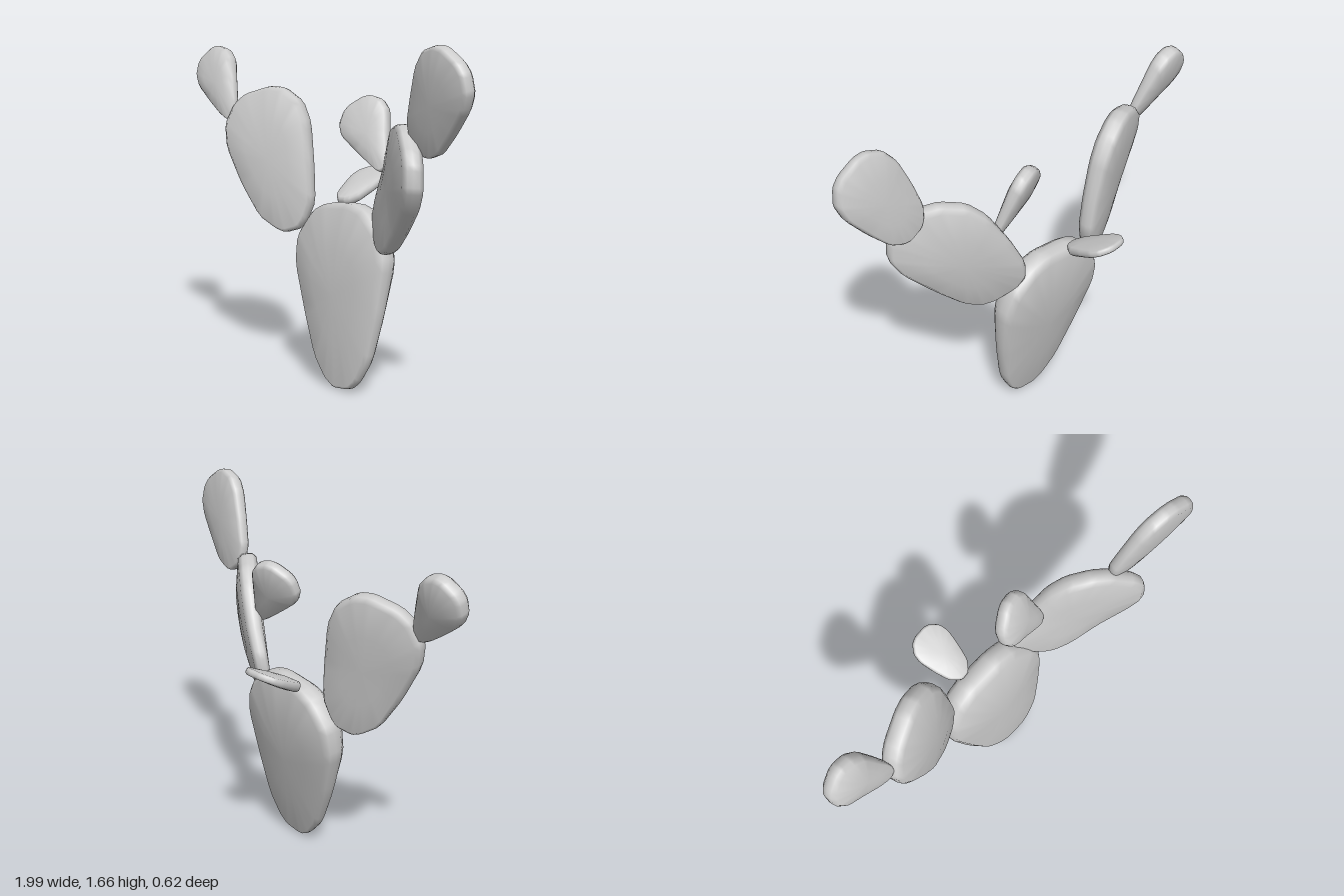
import * as THREE from 'three';

const material = new THREE.MeshStandardMaterial({ color: 0xcccccc });

// Egg-shaped half outline from joint to tip: [distance along, growth from base to full width, cap rounding]
const PROFILE = [[0, 0, 0.5], [0.04, 0, 1], [0.15, 0.2, 1], [0.4, 0.6, 1], [0.68, 1, 1], [0.84, 1, 0.92], [0.96, 1, 0.6], [1, 1, 0.3]];

// Rounded rim from back to front: [inset, height], both in half-thicknesses
const RIM = [[0.35, -0.74], [0.06, -0.42], [0, 0], [0.06, 0.42], [0.35, 0.74]];

// Cut each corner of a closed outline once
function softenCorners(points) {
  const n = points.length;
  return points.flatMap((p, i) => [
    p.clone().lerp(points[(i + n - 1) % n], 0.16),
    p.clone().lerp(points[(i + 1) % n], 0.16),
  ]);
}

// A fleshy pad from joint to tip; tilt gives its middle depth and its slopes in x and y, bend arches it,
// fullness below 1 widens its lower half, thick is the half-thickness at the joint and at the far end
function makePad({ name, joint, tip, width, base, fullness = 1, tilt, bend = 0, thick }) {
  const start = new THREE.Vector2(...joint);
  const axis = new THREE.Vector2(...tip).sub(start);
  const side = new THREE.Vector2(axis.y, -axis.x).normalize();
  const middle = start.clone().addScaledVector(axis, 0.5);
  const edge = (sign) => PROFILE.map(([t, growth, cap]) => start.clone()
    .addScaledVector(axis, t)
    .addScaledVector(side, sign * width * cap * THREE.MathUtils.lerp(base, 1, growth ** fullness)));
  const outline = softenCorners([...edge(1), ...edge(-1).reverse()]);
  const n = outline.length;

  const normal = new THREE.Vector3(-tilt[1], -tilt[2], 1).normalize();
  const along = (p) => THREE.MathUtils.clamp(p.clone().sub(start).dot(axis) / axis.lengthSq(), 0, 1);
  const halfThickness = (p) => THREE.MathUtils.lerp(thick[0], thick[1], Math.min(along(p) / 0.8, 1));
  const positions = [];
  const addPoint = (p, height) => {
    const z = tilt[0] + tilt[1] * (p.x - middle.x) + tilt[2] * (p.y - middle.y) + bend * Math.sin(Math.PI * along(p));
    const v = new THREE.Vector3(p.x, p.y, z).addScaledVector(normal, height * halfThickness(p));
    positions.push(v.x, v.y, v.z);
  };

  // Back face ring, rim rings, front face ring, then the two face centres
  const addFaceRing = (height) => outline.forEach((p) => addPoint(middle.clone().lerp(p, 0.5), height));
  addFaceRing(-0.98);
  for (const [inset, height] of RIM) {
    for (const p of outline) {
      const inward = middle.clone().sub(p).normalize();
      addPoint(p.clone().addScaledVector(inward, inset * halfThickness(p)), height);
    }
  }
  addFaceRing(0.98);
  addPoint(middle, -1.05);
  addPoint(middle, 1.05);

  const rings = RIM.length + 2;
  const index = [];
  for (let i = 0; i < n; i++) {
    const j = (i + 1) % n;
    for (let r = 0; r < rings - 1; r++) {
      const a = r * n + i, b = r * n + j;
      index.push(a, b, b + n, a, b + n, a + n);
    }
    index.push(rings * n, j, i);
    index.push(rings * n + 1, (rings - 1) * n + i, (rings - 1) * n + j);
  }
  const geometry = new THREE.BufferGeometry();
  geometry.setAttribute('position', new THREE.Float32BufferAttribute(positions, 3));
  geometry.setIndex(index);
  geometry.computeVertexNormals();
  const mesh = new THREE.Mesh(geometry, material);
  mesh.name = name;
  return mesh;
}

export function createModel() {
  const group = new THREE.Group();
  group.name = 'padCactus';
  const add = (spec) => {
    const pad = makePad(spec);
    group.add(pad);
    return pad;
  };

  // Trunk
  add({ name: 'trunkPad', joint: [0.085, 0.008], tip: [-0.035, 0.86], width: 0.306, base: 0.34, fullness: 0.65, tilt: [0.037, 0, -0.135], thick: [0.035, 0.09] });

  // Left arm, with a small pad on its upper edge
  add({ name: 'leftLowerPad', joint: [0.25, 0.735], tip: [0.64, 1.25], width: 0.203, base: 0.52, fullness: 0.5, tilt: [0.115, 0.62, -0.1], bend: -0.025, thick: [0.045, 0.062] });
  add({ name: 'leftUpperPad', joint: [0.65, 1.2], tip: [0.91, 1.625], width: 0.165, base: 0.42, fullness: 0.5, tilt: [0.196, 0.1, 0.12], thick: [0.035, 0.048] });
  add({ name: 'leftSidePad', joint: [0.295, 1.06], tip: [0.08, 1.345], width: 0.113, base: 0.22, tilt: [0.02, -0.35, -0.4], thick: [0.025, 0.047] });

  // Right arm
  add({ name: 'rightLowerPad', joint: [-0.335, 0.685], tip: [-0.575, 1.345], width: 0.21, base: 0.35, fullness: 0.5, tilt: [0.045, -0.42, -0.14], bend: 0.015, thick: [0.05, 0.068] });
  add({ name: 'rightUpperPad', joint: [-0.7, 1.2], tip: [-0.955, 1.5], width: 0.118, base: 0.25, fullness: 0.85, tilt: [0.095, -0.1, -0.3], thick: [0.025, 0.055] });

  // Back pad, shaped flat and laid back behind the trunk
  const back = add({ name: 'backPad', joint: [-0.095, 0.055], tip: [-0.125, 0.322], width: 0.1, base: 0.35, fullness: 0.5, tilt: [0.91, 0, 0.48], thick: [0.033, 0.022] });
  back.rotation.x = -Math.PI / 2;

  return group;
}
